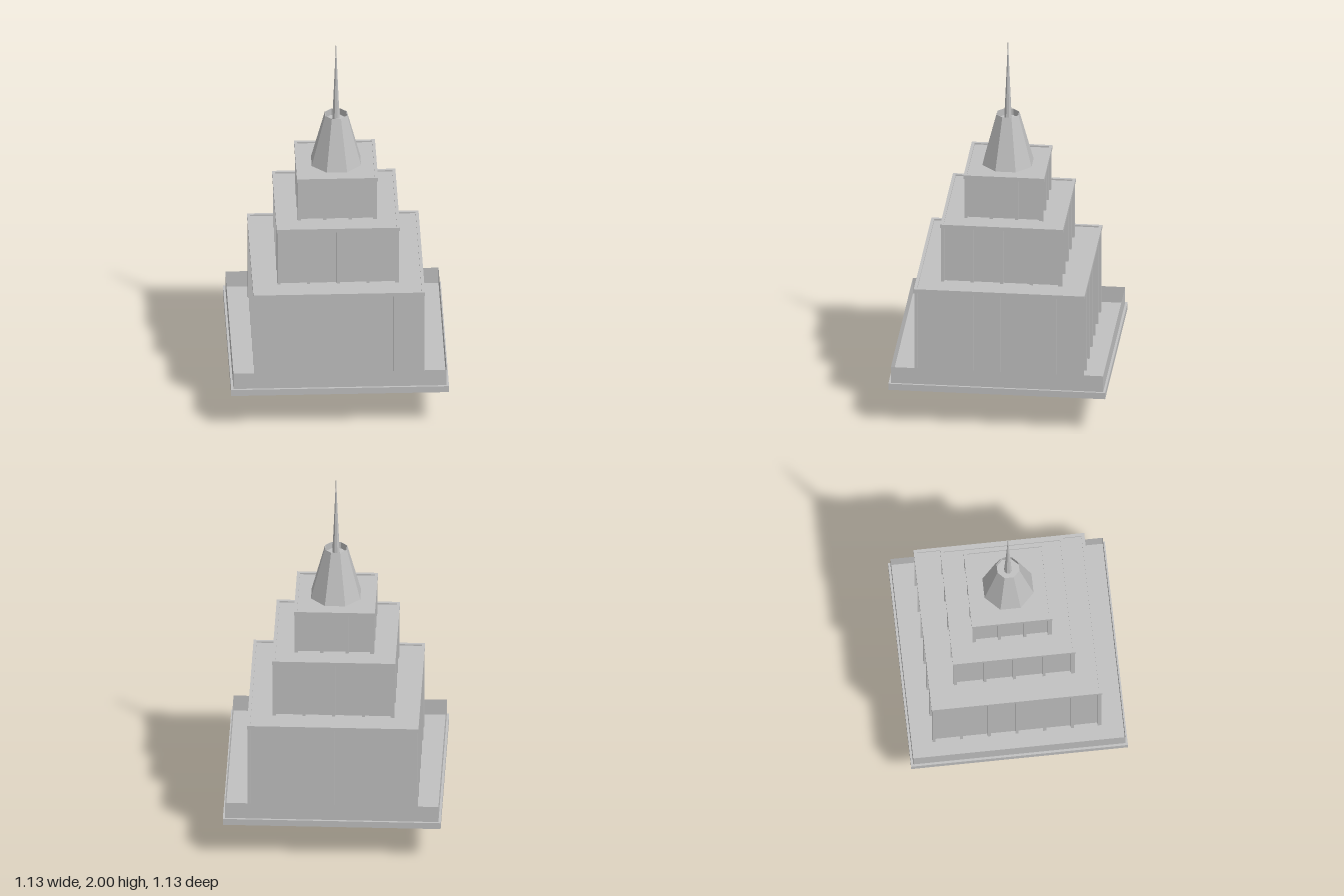
import * as THREE from 'three';

const stone = new THREE.MeshStandardMaterial({ color: 0xc0c0c0, flatShading: true, side: THREE.DoubleSide });
stone.name = 'stone grey';

export function createModel() {
  const model = new THREE.Group();
  model.name = 'steppedTower';

  const add = (parent, name, geometry, x = 0, y = 0, z = 0) => {
    const mesh = new THREE.Mesh(geometry, stone);
    mesh.name = name;
    mesh.position.set(x, y, z);
    parent.add(mesh);
    return mesh;
  };
  const box = (parent, name, w, h, d, x, y, z) => add(parent, name, new THREE.BoxGeometry(w, h, d), x, y, z);
  const group = (name) => {
    const g = new THREE.Group();
    g.name = name;
    model.add(g);
    return g;
  };
  // Thin straight bar between two points
  const bar = (parent, name, a, b, t = 0.005) => {
    const from = new THREE.Vector3(...a), to = new THREE.Vector3(...b);
    const mesh = box(parent, name, t, t, from.distanceTo(to), 0, 0, 0);
    mesh.position.copy(from).add(to).multiplyScalar(0.5);
    mesh.lookAt(to);
    return mesh;
  };
  const points = (list) => list.map(([x, y]) => new THREE.Vector2(x, y));
  const square = (r) => points([[-r, -r], [r, -r], [r, r], [-r, r]]);
  // Flat plate with a hole, lying level with its underside at y
  const plate = (parent, name, outer, hole, height, y) => {
    const shape = new THREE.Shape(outer);
    shape.holes.push(new THREE.Path(hole));
    const geometry = new THREE.ExtrudeGeometry(shape, { depth: height, bevelEnabled: false });
    geometry.rotateX(-Math.PI / 2);
    return add(parent, name, geometry, 0, y, 0);
  };

  // Base: slab with a chamfered hatch, floor and thin parapet
  const base = group('base');
  const hatch = points([[-0.13, -0.06], [0.11, -0.06], [0.14, -0.03], [0.14, 0.04],
    [0.11, 0.07], [-0.13, 0.07], [-0.16, 0.04], [-0.16, -0.03]]);
  plate(base, 'slab', square(0.565), hatch, 0.033, 0.205);
  box(base, 'floor', 1.13, 0.003, 1.13, 0, 0.2385, 0);
  const R = 0.553;
  const parapet = new THREE.CylinderGeometry(R * Math.SQRT2, R * Math.SQRT2, 0.09, 4, 1, true);
  parapet.rotateY(Math.PI / 4);
  add(base, 'parapet', parapet, 0, 0.285, 0);

  // Tiers: walls, pilasters on four sides and a rimmed roof
  const tier = (name, half, y0, y1, bays) => {
    const g = group(name);
    const wall = half - 0.02, roof = y1 - 0.008, under = y1 - 0.02;
    box(g, 'walls', wall * 2, roof - y0, wall * 2, 0, (y0 + roof) / 2, 0);
    plate(g, 'roofRim', square(half), square(half - 0.016), 0.02, under);
    box(g, 'roof', half * 2 - 0.03, 0.008, half * 2 - 0.03, 0, roof - 0.004, 0);
    const span = half - 0.012;
    for (let side = 0; side < 4; side++) {
      const face = new THREE.Group();
      face.name = 'pilasterRow';
      face.rotation.y = side * Math.PI / 2;
      g.add(face);
      for (let i = 0; i < bays; i++) {
        const x = -span + (2 * span * i) / bays;
        box(face, 'pilaster', 0.016, under - y0, 0.022, x, (y0 + under) / 2, half - 0.015);
      }
    }
  };
  tier('lowerTier', 0.445, 0.24, 0.73, 6);
  tier('middleTier', 0.32, 0.722, 1.047, 4);
  tier('upperTier', 0.21, 1.039, 1.283, 3);

  // Eight-sided crown, hollow at the top, with a needle spire
  const lathe = (name, profile) => {
    const mesh = add(model, name, new THREE.LatheGeometry(points(profile), 8));
    mesh.rotation.y = Math.PI / 8;
  };
  lathe('crown', [[0.1385, 1.275], [0.062, 1.553]].concat([[0.06, 1.553], [0.062, 1.515], [0, 1.515]]));
  lathe('spire', [[0.021, 1.515], [0.013, 1.68], [0.005, 1.86], [0.0015, 1.95], [0, 2]]);

  // Stairs with handrails hanging from the hatch
  const stairs = group('stairs');
  for (const z of [0.02, 0.062]) {
    bar(stairs, 'stringer', [-0.138, 0.004, z], [0.11, 0.207, z], 0.007);
    bar(stairs, 'handrail', [-0.138, 0.07, z], [0.025, 0.207, z], 0.004);
    bar(stairs, 'railPost', [-0.085, 0.047, z], [-0.085, 0.114, z], 0.004);
  }
  for (let i = 0; i < 12; i++) {
    const t = (i + 0.5) / 12;
    box(stairs, 'tread', 0.015, 0.003, 0.042, -0.138 + 0.248 * t, 0.004 + 0.203 * t, 0.041);
  }

  // Upright ladder
  const ladder = group('ladder');
  for (const x of [0.135, 0.165]) bar(ladder, 'ladderRail', [x, 0.02, 0.07], [x, 0.215, 0.07], 0.004);
  for (let i = 0; i < 8; i++) bar(ladder, 'rung', [0.135, 0.032 + i * 0.023, 0.07], [0.165, 0.032 + i * 0.023, 0.07], 0.003);

  // Sloping strut beside the hatch
  bar(model, 'strut', [-0.168, 0.207, 0.06], [-0.168, 0.15, 0.003], 0.004);

  return model;
}
